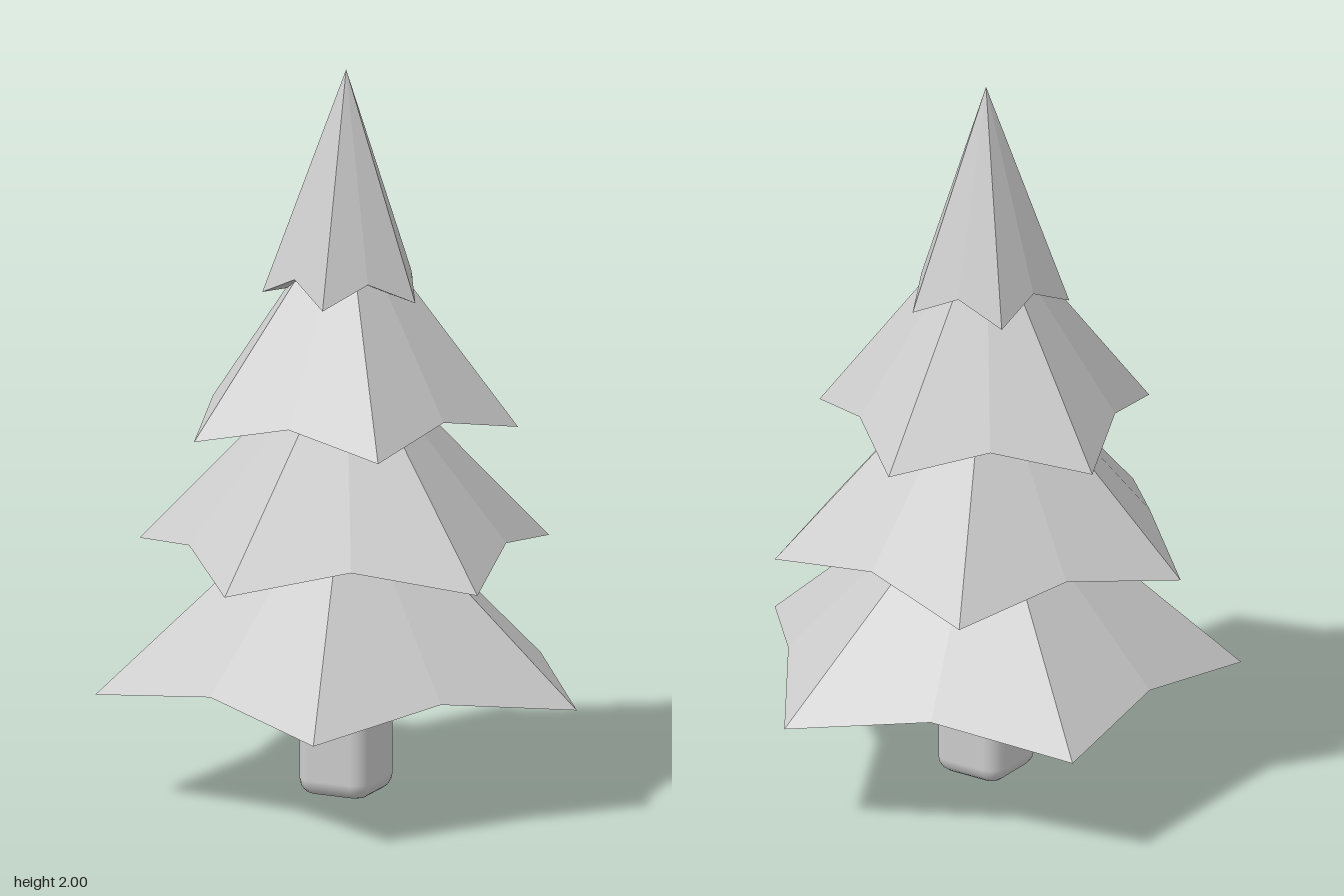
import * as THREE from 'three';
import { RoundedBoxGeometry } from 'three/addons/geometries/RoundedBoxGeometry.js';

const TIER_HEIGHT = 0.615; // from the star tips to the peak
const VALLEY_RATIO = 0.775; // valley radius relative to tip radius
const VALLEY_LIFT = 0.06;

// Five-pointed star cone with a nearly flat underside, tips on y = 0
function starCone(radius) {
  const ring = [];
  for (let i = 0; i < 10; i++) {
    const angle = (i * Math.PI) / 5;
    const valley = i % 2 === 1;
    const r = valley ? radius * VALLEY_RATIO : radius;
    ring.push([r * Math.cos(angle), valley ? VALLEY_LIFT : 0, r * Math.sin(angle)]);
  }
  const peak = [0, TIER_HEIGHT, 0];
  const under = [0, VALLEY_LIFT * 0.6, 0];
  const points = [];
  ring.forEach((cur, i) => {
    const next = ring[(i + 1) % ring.length];
    points.push(...cur, ...peak, ...next); // upper slope
    points.push(...cur, ...next, ...under); // underside
  });
  const geometry = new THREE.BufferGeometry();
  geometry.setAttribute('position', new THREE.Float32BufferAttribute(points, 3));
  geometry.computeVertexNormals();
  return geometry;
}

export function createModel() {
  const tree = new THREE.Group();
  tree.name = 'pineTree';
  const grey = new THREE.MeshStandardMaterial({ color: 0xcccccc });
  grey.name = 'light grey';

  // Square trunk with softened edges
  const trunk = new THREE.Mesh(new RoundedBoxGeometry(0.21, 0.55, 0.21, 2, 0.045), grey);
  trunk.name = 'trunk';
  trunk.position.y = 0.275;
  tree.add(trunk);

  // Four foliage tiers, each smaller and turned a further 27 degrees
  const tiers = [
    ['bottomFoliage', 0.685, 0.3],
    ['lowerFoliage', 0.577, 0.66],
    ['upperFoliage', 0.465, 1.025],
    ['topFoliage', 0.225, 1.385],
  ];
  tiers.forEach(([name, radius, y], i) => {
    const tier = new THREE.Mesh(starCone(radius), grey);
    tier.name = name;
    tier.position.y = y;
    tier.rotation.y = -THREE.MathUtils.degToRad(27 * i);
    tree.add(tier);
  });

  // The trunk axis sits left of centre so that the outline is centred
  tree.children.forEach((part) => { part.position.x = -0.06; });
  return tree;
}
